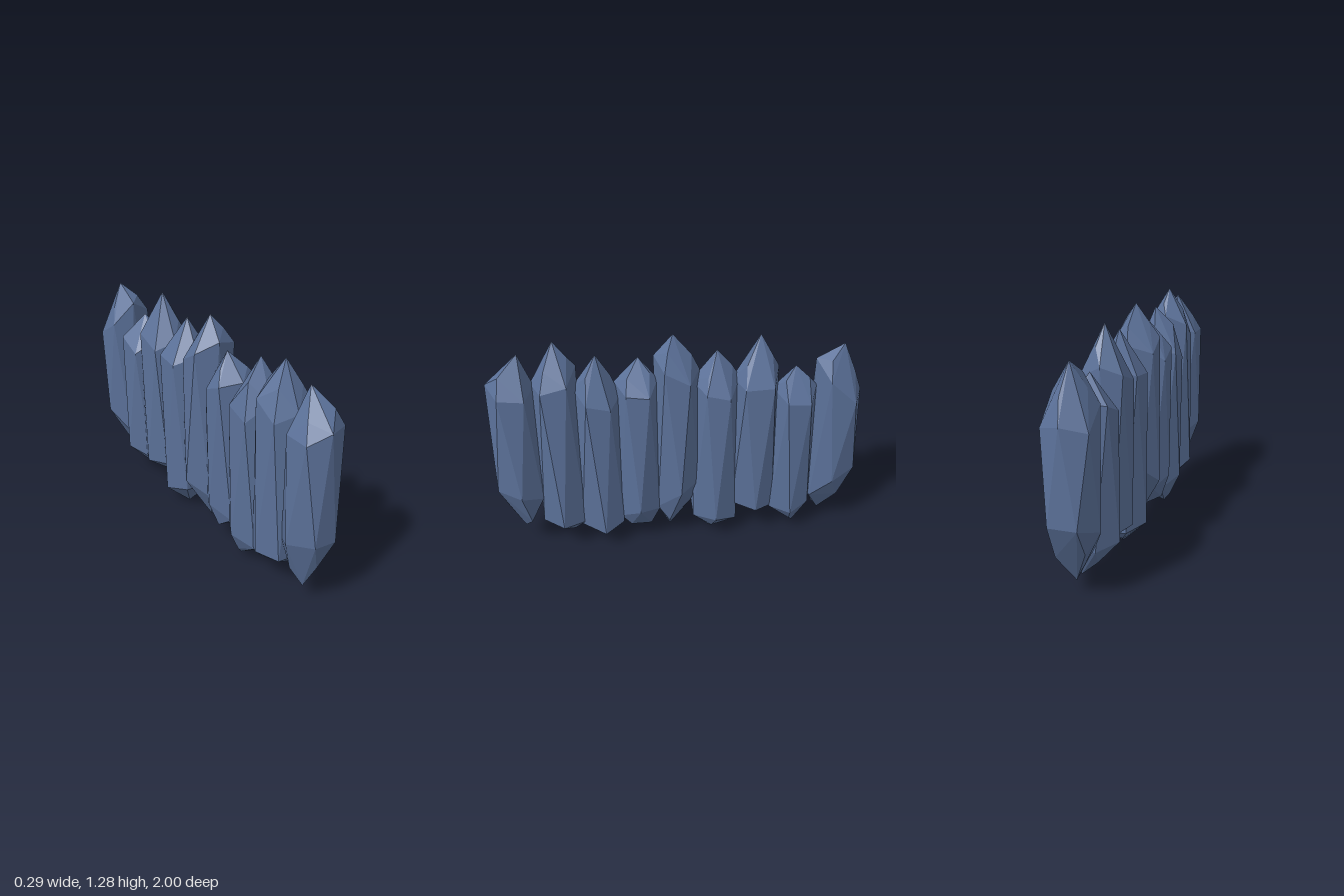
import * as THREE from 'three';
import { ConvexGeometry } from 'three/addons/geometries/ConvexGeometry.js';

// One row per stone, front to back:
// [zFront, zBack], top [x, y, z], bottom [x, y, z], shoulder heights [front, back], base heights [front, back]
const STONES = [
  [[1.0, 0.75], [0, 1.22, 0.82], [-0.02, 0.1, 0.88], [1.05, 1.03], [0.42, 0.34]],
  [[0.77, 0.53], [0, 1.28, 0.64], [0.02, 0.08, 0.62], [1.04, 1.13], [0.2, 0.15]],
  [[0.56, 0.31], [0.02, 1.2, 0.43], [-0.05, 0.02, 0.41], [1.0, 0.95], [0.13, 0.13]],
  [[0.34, 0.11], [-0.02, 1.15, 0.21], [0.02, 0.07, 0.16], [1.02, 1.03], [0.17, 0.2]],
  [[0.13, -0.11], [0, 1.28, 0.03], [0, 0.04, 0.05], [1.16, 1.07], [0.21, 0.4]],
  [[-0.07, -0.33], [0.01, 1.18, -0.2], [0, 0, -0.18], [1.0, 1.0], [0.15, 0.1]],
  [[-0.29, -0.54], [0, 1.25, -0.43], [-0.02, 0.12, -0.42], [1.0, 1.05], [0.2, 0.17]],
  [[-0.51, -0.75], [0, 1.05, -0.63], [0.04, 0.02, -0.67], [0.92, 0.93], [0.15, 0.18]],
  [[-0.74, -1.0], [-0.01, 1.16, -0.89], [0, 0.07, -0.83], [1.08, 0.88], [0.2, 0.4]],
];

// Small seeded generator, returns -1..1
function seeded(seed) {
  let s = seed;
  return () => {
    s = (s * 16807) % 2147483647;
    return (s / 2147483647) * 2 - 1;
  };
}

function stoneGeometry([[zf, zb], top, bottom, shoulder, base], seed) {
  const rnd = seeded(seed);
  const zc = (zf + zb) / 2, rz = (zf - zb) / 2, rx = 0.142;
  const points = [new THREE.Vector3(...top), new THREE.Vector3(...bottom)];

  // Irregular ring of n corners: height tilts front to back and shifts by sideLift at the sides
  const ring = (n, [yf, yb], phase, scale, sideLift) => {
    for (let i = 0; i < n; i++) {
      const a = phase + (i / n) * Math.PI * 2 + rnd() * 0.1;
      const c = Math.cos(a), s = Math.sin(a);
      const y = THREE.MathUtils.lerp(yb, yf, (c + 1) / 2) + s * s * (sideLift + rnd() * 0.05);
      const r = scale * (1 + s * s * rnd() * 0.04);
      const z = THREE.MathUtils.clamp(c * rz * r * 1.12, -rz, rz);
      points.push(new THREE.Vector3(s * rx * r, y, zc + z));
    }
  };
  const mix = (pair, y, t) => pair.map((v) => THREE.MathUtils.lerp(v, y, t));

  ring(3, mix(shoulder, top[1], 0.45), rnd() * 3, 0.58, -0.03); // crown
  ring(6, shoulder, 0, 0.98, -0.07); // shoulders
  ring(6, base, Math.PI / 6, 1, 0.03); // foot, turned half a side
  ring(3, mix(base, bottom[1], 0.5), rnd() * 3, 0.6, 0); // keel
  return new ConvexGeometry(points);
}

export function createModel() {
  const slate = new THREE.MeshStandardMaterial({ color: 0x5b7199, flatShading: true });
  slate.name = 'slateBlue';
  const wall = new THREE.Group();
  wall.name = 'stoneWall';
  STONES.forEach((row, i) => {
    const stone = new THREE.Mesh(stoneGeometry(row, 1234567 * (i + 3)), slate);
    stone.name = `stone${i + 1}`;
    wall.add(stone);
  });
  return wall;
}
